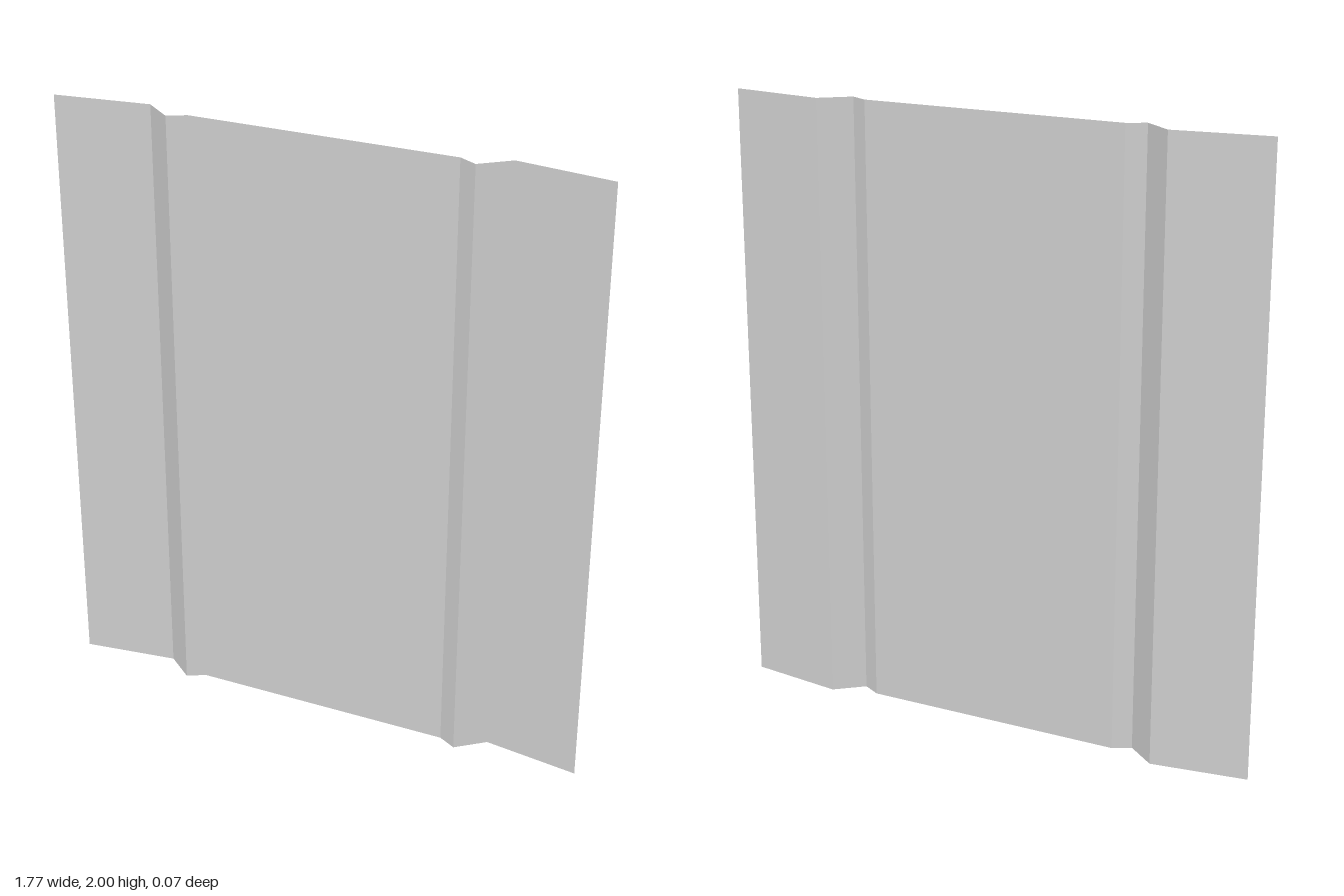
import * as THREE from 'three';

// Right half of the sheet's cross-section as [x, z]; the left half mirrors it
const HALF = [[0.43, 0.005], [0.487, 0.036], [0.577, -0.036], [0.887, 0.005]];
const HEIGHT = 2;

export function createModel() {
  const group = new THREE.Group();
  group.name = 'foldedPanel';

  const profile = [...HALF.map(([x, z]) => [-x, z]).reverse(), ...HALF];

  // Thin sheet: one plane column per fold, moved onto the profile
  const geometry = new THREE.PlaneGeometry(1, HEIGHT, profile.length - 1, 1);
  geometry.translate(0, HEIGHT / 2, 0);
  const pos = geometry.attributes.position;
  for (let i = 0; i < pos.count; i++) {
    const [x, z] = profile[i % profile.length];
    pos.setX(i, x);
    pos.setZ(i, z);
  }

  // Separate the facets so every fold stays crisp
  const faceted = geometry.toNonIndexed();
  faceted.computeVertexNormals();

  const sheet = new THREE.Mesh(faceted, new THREE.MeshStandardMaterial({
    color: 0xcccccc, flatShading: true, side: THREE.DoubleSide,
  }));
  sheet.name = 'ribbedSheet';
  group.add(sheet);
  return group;
}
